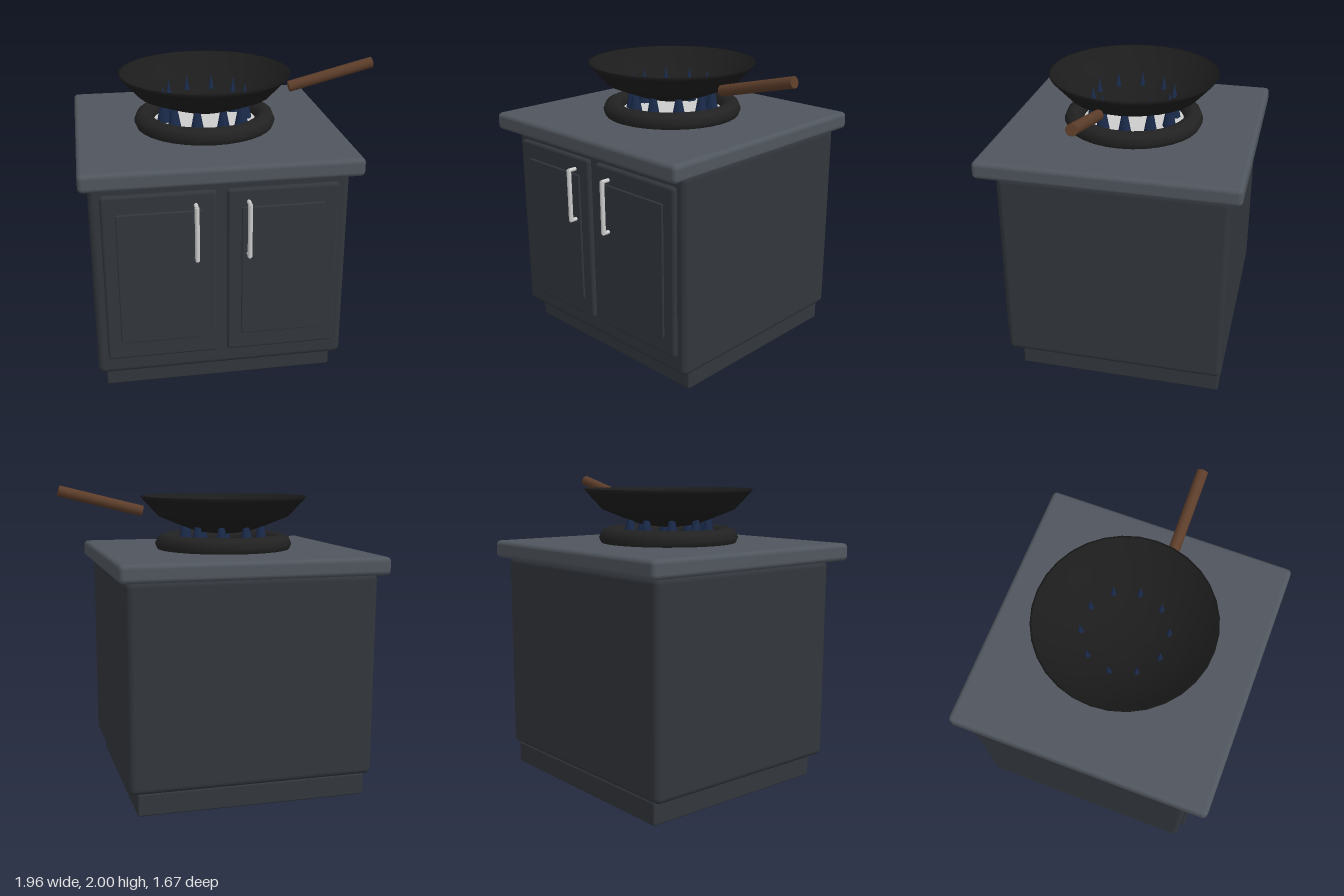
import * as THREE from 'three';
import { RoundedBoxGeometry } from 'three/addons/geometries/RoundedBoxGeometry.js';

const CX = -0.13; // centre line of the cabinet, burner and pan

const mat = (color, extra = {}) => new THREE.MeshStandardMaterial({ color, ...extra });

export function createModel() {
  const model = new THREE.Group();
  const cabinetMat = mat(0x32363c);
  const counterMat = mat(0x50565e);
  const ironMat = mat(0x222222);
  const panMat = mat(0x1c1c1c, { side: THREE.DoubleSide });
  const steelMat = mat(0xcccccc);
  const flameMat = mat(0x1a2a4a);
  const woodMat = mat(0x5c3d2a);

  const add = (parent, name, geometry, material, x = 0, y = 0, z = 0) => {
    const mesh = new THREE.Mesh(geometry, material);
    mesh.name = name;
    mesh.position.set(x, y, z);
    parent.add(mesh);
    return mesh;
  };

  // Rounded box given by its limits on each axis
  const box = (parent, name, material, [x0, x1], [y0, y1], [z0, z1], r) =>
    add(parent, name, new RoundedBoxGeometry(x1 - x0, y1 - y0, z1 - z0, 3, r), material,
      (x0 + x1) / 2, (y0 + y1) / 2, (z0 + z1) / 2);

  // Cabinet
  box(model, 'plinth', cabinetMat, [CX - 0.75, CX + 0.75], [0, 0.145], [-0.747, 0.615], 0.012);
  box(model, 'cabinetBody', cabinetMat, [CX - 0.8, CX + 0.8], [0.14, 1.462], [-0.765, 0.7], 0.04);
  box(model, 'countertop', counterMat, [CX - 0.853, CX + 0.853], [1.457, 1.572], [-0.835, 0.835], 0.03);

  // Doors with a raised panel and a bar handle
  for (const side of [-1, 1]) {
    const door = new THREE.Group();
    door.name = side < 0 ? 'rightDoor' : 'leftDoor';
    door.position.x = CX + side * 0.383;
    model.add(door);
    box(door, 'doorFrame', cabinetMat, [-0.35, 0.35], [0.26, 1.385], [0.66, 0.727], 0.02);
    box(door, 'doorPanel', cabinetMat, [-0.263, 0.263], [0.38, 1.268], [0.7, 0.738], 0.008);
    const hx = -side * 0.221;
    add(door, 'handleBar', new THREE.CylinderGeometry(0.015, 0.015, 0.35, 16), steelMat, hx, 1.129, 0.781);
    for (const y of [0.957, 1.301]) {
      const post = add(door, 'handlePost', new THREE.CylinderGeometry(0.013, 0.013, 0.06, 12), steelMat, hx, y, 0.757);
      post.rotation.x = Math.PI / 2;
    }
  }

  // Burner: ring, plate and a circle of flames
  const burner = new THREE.Group();
  burner.name = 'burner';
  burner.position.x = CX;
  model.add(burner);
  const ring = add(burner, 'burnerRing', new THREE.TorusGeometry(0.4, 0.065, 8, 32), ironMat, 0, 1.607, 0);
  ring.rotation.x = Math.PI / 2;
  add(burner, 'burnerPlate', new THREE.CylinderGeometry(0.36, 0.36, 0.03, 32), steelMat, 0, 1.583, 0);
  const flameGeometry = new THREE.ConeGeometry(0.05, 0.26, 8);
  for (let i = 0; i < 10; i++) {
    const a = (i / 10) * Math.PI * 2;
    add(burner, 'flame', flameGeometry, flameMat, 0.27 * Math.cos(a), 1.705, 0.27 * Math.sin(a));
  }

  // Pan: thin bowl, outer wall then inner wall
  const profile = [
    [0, 1.675], [0.07, 1.676], [0.18, 1.69], [0.28, 1.725], [0.44, 1.79], [0.545, 1.903],
    [0.56, 1.925], [0.545, 1.925], [0.43, 1.805], [0.27, 1.738], [0.17, 1.703], [0, 1.69],
  ].map(([r, y]) => new THREE.Vector2(r, y));
  add(model, 'pan', new THREE.LatheGeometry(profile, 32), panMat, CX, 0, 0);

  // Sloping wooden handle
  const handle = add(model, 'panHandle', new THREE.CylinderGeometry(0.036, 0.036, 0.573, 16), woodMat, 0.688, 1.894, 0.103);
  handle.rotation.z = -Math.PI / 2 + 0.245;

  return model;
}
